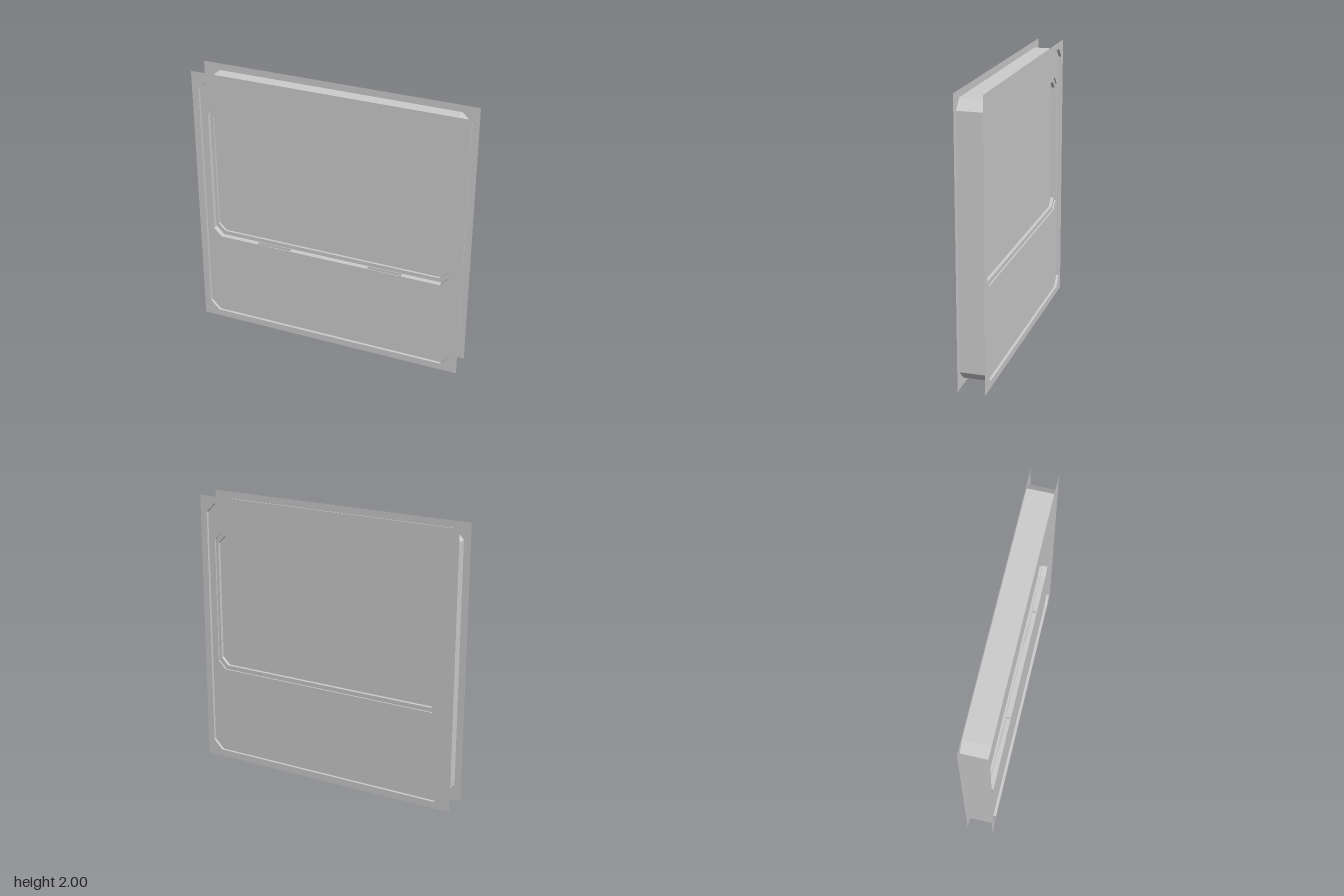
import * as THREE from 'three';

const material = new THREE.MeshStandardMaterial({ color: 0xcccccc, side: THREE.DoubleSide, flatShading: true });

// Rectangle with chamfered corners; its last edge (7 -> 0) is the bottom one
function octagon(w, y0, y1, c) {
  return [
    [w - c, y0], [w, y0 + c], [w, y1 - c], [w - c, y1],
    [c - w, y1], [-w, y1 - c], [-w, y0 + c], [c - w, y0],
  ].map(([x, y]) => new THREE.Vector2(x, y));
}

function rectangle(x0, y0, x1, y1) {
  return [[x0, y0], [x1, y0], [x1, y1], [x0, y1]].map(([x, y]) => new THREE.Vector2(x, y));
}

// Flat face with optional holes
function sheet(outline, holes = []) {
  const shape = new THREE.Shape(outline);
  holes.forEach((h) => shape.holes.push(new THREE.Path(h)));
  return new THREE.ShapeGeometry(shape);
}

// Wall following an outline from depth z0 to z1
function wall(outline, z0, z1, edges = outline.length) {
  const pos = [];
  for (let i = 0; i < edges; i++) {
    const a = outline[i], b = outline[(i + 1) % outline.length];
    pos.push(a.x, a.y, z0, b.x, b.y, z0, b.x, b.y, z1);
    pos.push(a.x, a.y, z0, b.x, b.y, z1, a.x, a.y, z1);
  }
  const g = new THREE.BufferGeometry();
  g.setAttribute('position', new THREE.Float32BufferAttribute(pos, 3));
  g.computeVertexNormals();
  return g;
}

export function createModel() {
  const model = new THREE.Group();
  const add = (name, geometry) => {
    const mesh = new THREE.Mesh(geometry, material);
    mesh.name = name;
    model.add(mesh);
  };

  const body = octagon(0.95, 0.05, 1.95, 0.07);
  const opening = octagon(0.9, 0.7, 1.74, 0.06);
  const glass = octagon(0.88, 0.73, 1.71, 0.055);

  // Outer casing joining the two thin flanges
  add('casing', wall(body, 0.095, -0.095));

  // Depths of flange, panel, window ledge and pane on each side
  const sides = [
    { name: 'front', dir: 1, flange: 0.095, panel: 0.075, ledge: 0.037, pane: 0.02 },
    { name: 'back', dir: -1, flange: 0.095, panel: 0.075, ledge: 0.064, pane: 0.04 },
  ];
  for (const { name, dir, flange, panel, ledge, pane } of sides) {
    const face = (part, outline, holes, depth) => {
      const g = sheet(outline, holes);
      if (dir < 0) g.rotateY(Math.PI);
      add(name + part, g.translate(0, 0, dir * depth));
    };
    face('Flange', rectangle(-1, 0, 1, 2), [body], flange);
    face('Panel', body, [opening], panel);
    face('WindowLedge', opening, [glass], ledge);
    face('WindowPane', glass, [], pane);
    // The front opening leaves its bottom edge to the slotted sill
    add(name + 'OpeningWall', wall(opening, dir * panel, dir * ledge, dir > 0 ? 7 : 8));
    add(name + 'PaneWall', wall(glass, dir * ledge, dir * pane));
  }

  // Front sill with two shallow finger slots
  const slots = [-1, 1].map((s) => rectangle(s * 0.425 - 0.128, -0.07, s * 0.425 + 0.128, -0.042));
  const lay = (g, y) => g.rotateX(-Math.PI / 2).translate(0, y, 0);
  add('frontSill', lay(sheet(rectangle(-0.84, -0.075, 0.84, -0.037), slots), 0.7));
  for (const slot of slots) {
    add('slotWall', lay(wall(slot, 0, -0.03), 0.7));
    add('slotFloor', lay(sheet(slot), 0.67));
  }
  return model;
}
